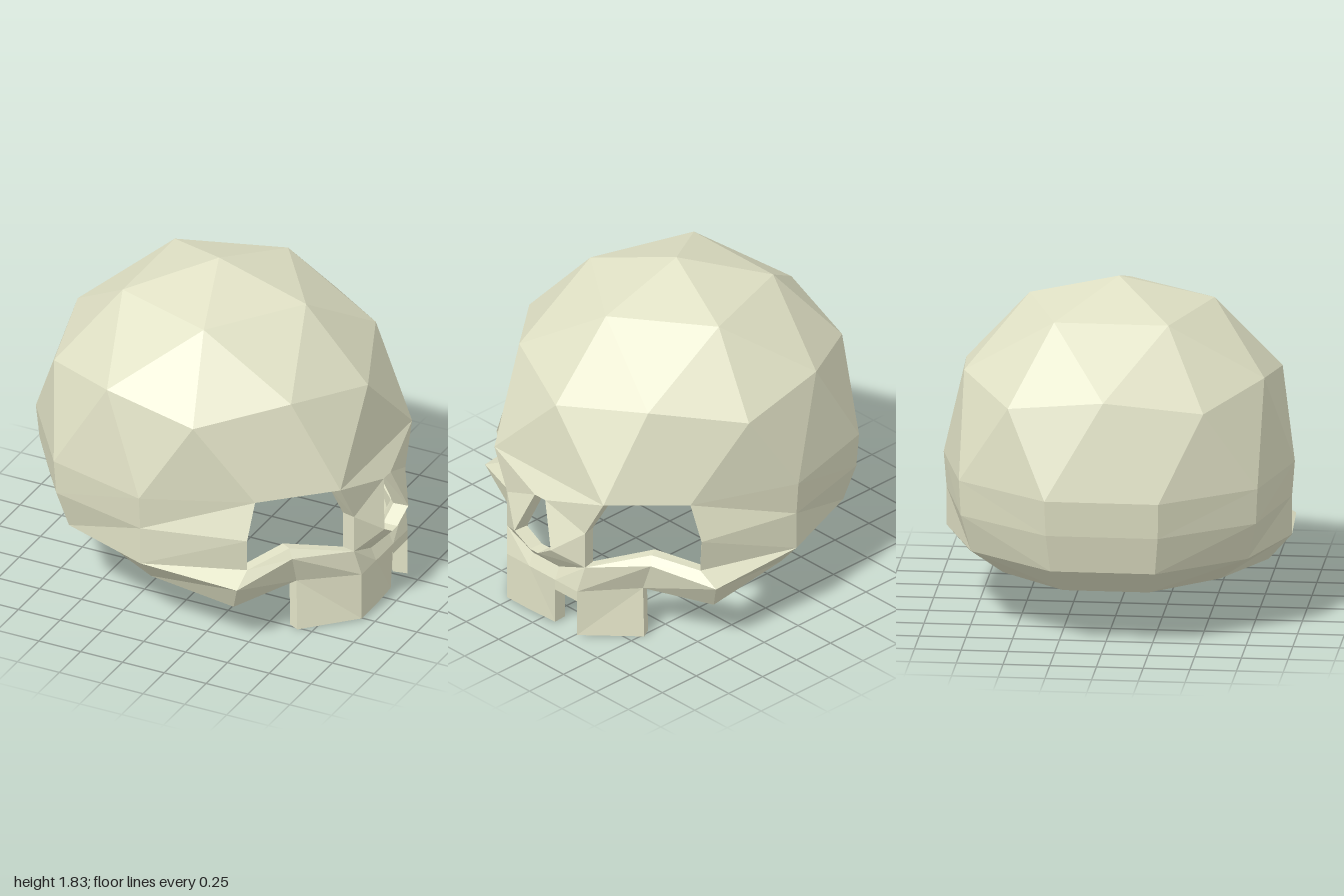
import * as THREE from 'three';

const CX = -0.06, CY = 0.83;
const bone = new THREE.MeshStandardMaterial({ color: 0xdfe0c4, flatShading: true });

// Point on a horizontal ring; 0 degrees is the face side (+x)
const ring = (r, y, deg) => {
  const a = THREE.MathUtils.degToRad(deg);
  return [CX + r * Math.cos(a), y, r * Math.sin(a)];
};
const key = p => p.map(v => Math.round(v * 1000) + 0).join(',');

// Turns a set of faces into a shell with an inner wall and rims round every opening
function shell(name, faces) {
  const tris = [];
  const u = new THREE.Vector3(), v = new THREE.Vector3();
  for (const f of faces) {
    for (let i = 1; i < f.length - 1; i++) {
      const [a, b, c] = [f[0], f[i], f[i + 1]];
      u.set(b[0] - a[0], b[1] - a[1], b[2] - a[2]);
      v.set(c[0] - a[0], c[1] - a[1], c[2] - a[2]);
      u.cross(v);
      const m = [0, 1, 2].map(k => (a[k] + b[k] + c[k]) / 3);
      const out = u.x * (m[0] - CX) + u.y * (m[1] - 0.3) + u.z * m[2];
      tris.push(out > 0 ? [a, b, c] : [a, c, b]);
    }
  }
  const inner = p => [
    CX + (p[0] - CX) * 0.92,
    p[1] > CY ? CY - 0.02 + (p[1] - CY) * 0.94 : p[1],
    p[2] * 0.94,
  ];
  const edges = new Set();
  for (const t of tris) t.forEach((p, i) => edges.add(key(p) + '|' + key(t[(i + 1) % 3])));
  const pos = [];
  const put = (...ps) => ps.forEach(p => pos.push(...p));
  for (const t of tris) {
    put(...t);
    put(inner(t[0]), inner(t[2]), inner(t[1]));
    t.forEach((p, i) => {
      const q = t[(i + 1) % 3];
      if (edges.has(key(q) + '|' + key(p))) return;
      put(q, p, inner(p), q, inner(p), inner(q));
    });
  }
  const g = new THREE.BufferGeometry();
  g.setAttribute('position', new THREE.Float32BufferAttribute(pos, 3));
  g.computeVertexNormals();
  const mesh = new THREE.Mesh(g, bone);
  mesh.name = name;
  return mesh;
}

export function createModel() {
  const group = new THREE.Group();
  group.name = 'skull';
  const faces = [];
  const add = (...f) => faces.push(f);

  // Cranium: upper half of a once-divided icosahedron
  const top = [CX, 1.83, 0];
  const A = [], B = [], C = [], E = [];
  for (let k = 0; k < 5; k++) {
    A.push(ring(0.52, 1.68, 72 * k));
    B.push(ring(0.89, 1.28, 72 * k));
    C.push(ring(0.845, 1.36, 72 * k + 36));
  }
  for (let j = 0; j < 10; j++) E.push(ring(0.988, 0.835, 18 + 36 * j));
  // brow, temple and side corners
  [[0.88, 0.86, 0.42], [0.52, 0.84, 0.715], [CX, 0.83, 0.94]].forEach(([x, y, z], j) => {
    E[j] = [x, y, z];
    E[9 - j] = [x, y, -z];
  });
  E[7] = [CX, 0.83, -0.94];
  for (let k = 0; k < 5; k++) {
    const n = (k + 1) % 5, e0 = E[2 * k], e1 = E[2 * k + 1];
    add(top, A[k], A[n]);
    add(A[k], A[n], C[k]);
    add(A[k], B[k], C[k]);
    add(A[n], B[n], C[k]);
    add(B[k], E[(2 * k + 9) % 10], e0);
    add(C[k], e0, e1);
    add(B[k], e0, C[k]);
    add(B[n], C[k], e1);
  }

  // Lower half, built per side and mirrored in z
  const sides = [1, -1].map(s => {
    const P = (x, y, z) => [x, y, z * s];
    const e = j => P(...(E[j]));
    const mid = [P(0.51, 0.64, 0.79), P(CX, 0.64, 0.925), P(-0.63, 0.64, 0.79), P(-0.98, 0.64, 0.3)];
    const low = [P(0.5, 0.45, 0.77), P(CX, 0.425, 0.925), P(-0.58, 0.43, 0.74), P(-0.93, 0.43, 0.28)];
    const base = [P(0.44, 0.23, 0.81), P(CX, 0.285, 0.8), P(-0.45, 0.28, 0.58), P(-0.76, 0.28, 0.23)];
    const cheek = P(0.5, 0.385, 0.89), cheekFront = P(0.66, 0.45, 0.555), orbitFloor = P(0.63, 0.495, 0.53);
    const orbitIn = P(0.9, 0.64, 0.3), orbitLow = P(0.9, 0.43, 0.3);
    const cheekLow = P(0.65, 0.28, 0.485), jaw = P(0.93, 0.28, 0.27);
    const nTop = P(0.945, 0.755, 0.04), nSide = P(1, 0.51, 0.14), nLow = P(0.99, 0.44, 0.03);
    const lip = P(0.9, 0.35, 0.1), gum = P(0.93, 0.28, 0.1);

    // side and back walls, with the band turning in below
    for (let j = 0; j < 3; j++) {
      add(e(j + 1), e(j + 2), mid[j + 1], mid[j]);
      add(mid[j], mid[j + 1], low[j + 1], low[j]);
      add(j ? low[j] : cheek, low[j + 1], base[j + 1], base[j]);
    }
    // cheekbone and floor of the eye socket
    add(low[0], low[1], cheek);
    add(low[0], cheek, cheekFront, orbitFloor);
    add(orbitFloor, cheekFront, orbitLow);
    add(cheek, base[0], cheekLow, cheekFront);
    add(cheekFront, cheekLow, jaw, orbitLow);
    // between eye socket and nose opening
    add(e(0), orbitIn, nTop);
    add(orbitIn, nSide, nTop);
    add(orbitIn, orbitLow, nSide);
    add(orbitLow, nLow, nSide);
    add(orbitLow, lip, nLow);
    add(orbitLow, jaw, gum, lip);
    // side teeth
    const toothIn = P(0.93, 0.01, 0.27);
    add(cheekLow, jaw, toothIn, P(0.67, 0, 0.515));
    return { brow: e(0), back: [e(4), mid[3], low[3], base[3]], nTop, nLow, lip, gum, jaw, toothIn };
  });

  // Centre strips joining the two sides
  const [l, r] = sides;
  for (let i = 0; i < 3; i++) add(l.back[i], r.back[i], r.back[i + 1], l.back[i + 1]);
  add(l.brow, r.brow, r.nTop, l.nTop);
  add(l.nLow, r.nLow, r.lip, l.lip);
  add(l.lip, r.lip, r.gum, l.gum);

  // Front teeth, with one gap beside them
  const cut = [0.93, 0.01, 0.1], cutR = [0.92, 0.01, -0.09];
  add(l.jaw, l.gum, cut, l.toothIn);
  add(l.gum, r.gum, cutR, cut);
  add(r.gum, r.jaw, [0.93, 0.22, -0.27], [0.93, 0.22, -0.1]);

  group.add(shell('skullShell', faces));
  return group;
}
